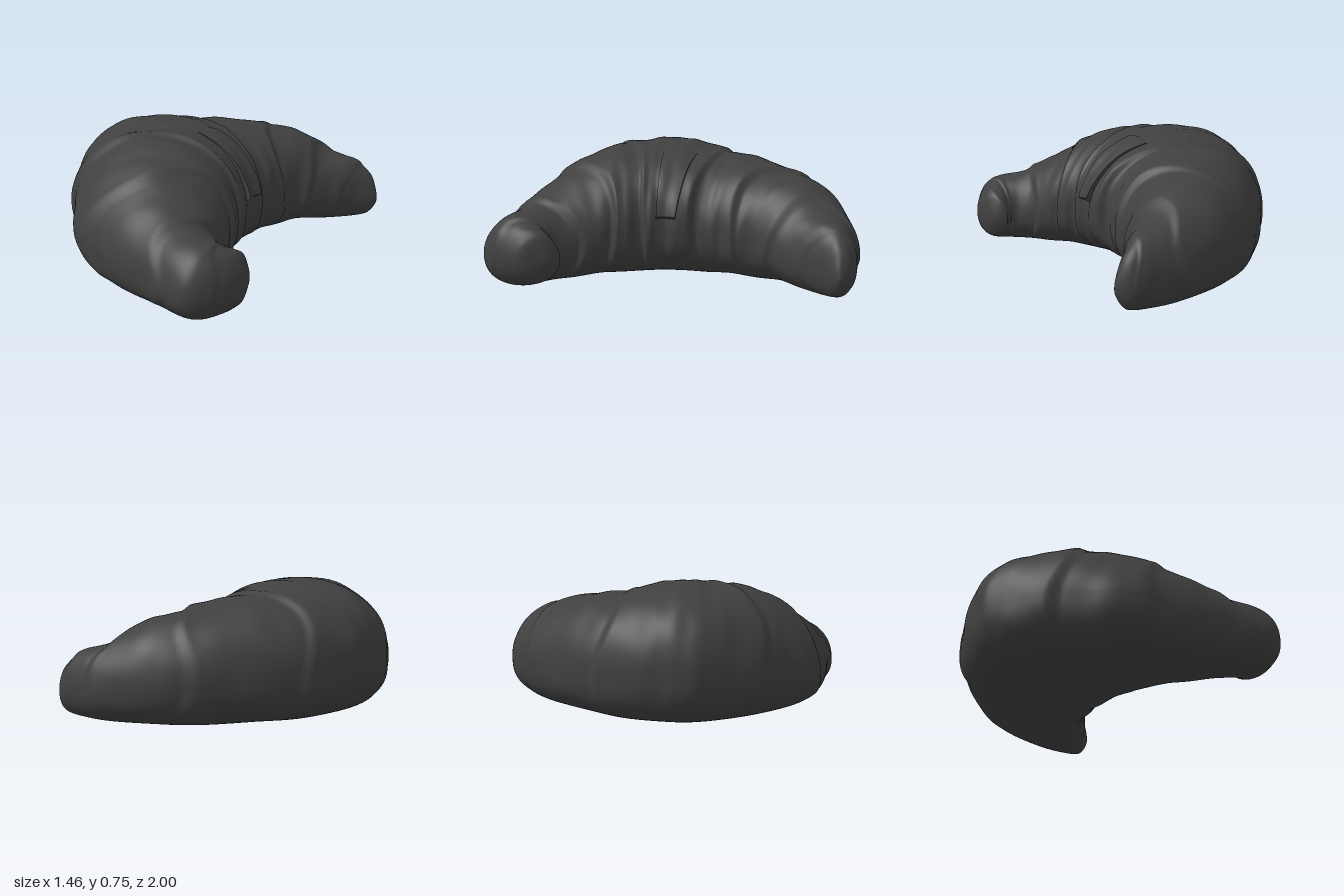
import * as THREE from 'three';
import { toCreasedNormals } from 'three/addons/utils/BufferGeometryUtils.js';

const { smoothstep, lerp } = THREE.MathUtils;
const V = (x, y, z) => new THREE.Vector3(x, y, z);

// Stations along the crescent: outer x, z, inner x, z, top height, bottom height,
// outer flank (below 1 is fuller, above 1 slopes more)
const stations = [
  [0.72, -0.92, 0.71, -0.85, 0.25, 0.09, 1], [0.65, -0.96, 0.64, -0.80, 0.33, 0.05, 1],
  [0.54, -0.98, 0.57, -0.71, 0.40, 0.03, 0.95], [0.35, -0.99, 0.48, -0.59, 0.45, 0.02, 0.92],
  [0.05, -0.93, 0.40, -0.47, 0.57, 0.02, 1], [-0.19, -0.77, 0.37, -0.36, 0.61, 0.01, 1],
  [-0.46, -0.50, 0.35, -0.25, 0.67, 0.01, 0.92], [-0.61, -0.28, 0.34, -0.15, 0.69, 0, 0.86],
  [-0.71, -0.05, 0.35, -0.04, 0.74, 0, 0.84], [-0.73, 0.14, 0.36, 0.07, 0.75, 0, 0.84],
  [-0.64, 0.35, 0.37, 0.15, 0.73, 0, 0.9], [-0.48, 0.57, 0.38, 0.24, 0.72, 0, 1.05],
  [-0.29, 0.77, 0.41, 0.33, 0.64, 0.01, 1.15], [0.00, 0.89, 0.45, 0.44, 0.54, 0.01, 1.1],
  [0.28, 0.94, 0.49, 0.54, 0.45, 0.02, 1], [0.54, 1.00, 0.56, 0.60, 0.41, 0.03, 1],
  [0.66, 0.91, 0.60, 0.58, 0.38, 0.05, 1], [0.725, 0.77, 0.62, 0.56, 0.34, 0.08, 1],
  [0.72, 0.65, 0.65, 0.55, 0.28, 0.13, 1],
];
const N = stations.length - 1;
const outer = new THREE.CatmullRomCurve3(stations.map(s => V(s[0], 0, s[1])), false, 'catmullrom');
const inner = new THREE.CatmullRomCurve3(stations.map(s => V(s[2], 0, s[3])), false, 'catmullrom');
const height = new THREE.CatmullRomCurve3(stations.map(s => V(s[4], s[5], s[6])), false, 'catmullrom');

// Edges of the rolled dough layers: station, direction away from the middle, swell
const seams = [
  [1.7, -1, 0.05], [3.3, -1, 0.07], [5.1, -1, 0.06], [7.1, -1, 0.05],
  [10.3, 1, 0.05], [12.1, 1, 0.06], [13.8, 1, 0.07], [15.5, 1, 0.05],
];

// Relief of the crust: layer steps, folds and small lumps
function relief(t, a) {
  let d = -0.02;
  for (const [T, dir, amp] of seams) {
    const wave = 0.15 * Math.sin(3 * a + T);
    const x = (t - T) * dir + 0.4 * Math.cos(a) + wave;
    d += x > 0 ? amp * (1 - smoothstep(x, 0, 0.25)) : amp * Math.exp(x / 0.7);
  }
  d += 0.010 * Math.sin(2.9 * t + 2 * a) * Math.sin(3 * a + 1.3 * t);
  d += 0.006 * Math.sin(7.1 * t - 3 * a) * Math.sin(5 * a + 2.3 * t);
  // Uneven pleats low on the inner side
  d += 0.014 * (Math.sin(4.1 * t) + Math.sin(2.3 * t + 1)) * Math.exp(-8 * (1 - Math.cos(a + 0.15)));
  return d * smoothstep(Math.sin(a), -0.9, -0.2);
}

// Point on the crust at station t and angle a (0 = inner side, PI/2 = crest)
function crust(t, a, lift = 0) {
  const o = outer.getPoint(t / N), i = inner.getPoint(t / N), h = height.getPoint(t / N);
  const fromEnd = Math.min(t, N - t);
  const round = Math.sqrt(Math.max(0, 1 - (1 - Math.min(1, fromEnd)) ** 2));
  // Round tips, flatter base towards the middle
  const flat = smoothstep(fromEnd, 1, 6);
  const c = Math.cos(a), s = Math.sin(a);
  const power = s < 0 ? lerp(1, 0.74, flat) : c < 0 ? h.z : lerp(1, 0.96, flat);
  const u = Math.sign(c) * Math.abs(c) ** power;
  const v = Math.sign(s) * Math.abs(s) ** power;
  const mid = o.clone().add(i).multiplyScalar(0.5);
  mid.y = lerp(h.y, h.x, 0.42);
  const off = i.sub(o).multiplyScalar(u / 2);
  off.y = v * (s > 0 ? h.x - mid.y : mid.y - h.y);
  const dir = off.clone().normalize();
  off.multiplyScalar(round * (1 + relief(t, a)));
  return mid.add(off).addScaledVector(dir, lift);
}

// Skin over rows of closed loops
function loft(rows, cols, point) {
  const pos = [], index = [];
  for (let i = 0; i <= rows; i++) {
    for (let j = 0; j < cols; j++) pos.push(...point(i / rows, j).toArray());
  }
  for (let i = 0; i < rows; i++) {
    for (let j = 0; j < cols; j++) {
      const a = i * cols + j, b = i * cols + (j + 1) % cols;
      index.push(a, b, a + cols, b, b + cols, a + cols);
    }
  }
  const g = new THREE.BufferGeometry();
  g.setAttribute('position', new THREE.Float32BufferAttribute(pos, 3));
  g.setIndex(index);
  g.computeVertexNormals();
  return g;
}

export function createModel() {
  const group = new THREE.Group();
  group.name = 'croissant';
  const material = new THREE.MeshStandardMaterial({ color: 0x404040 });

  // Rolled crescent body
  const cols = 88;
  const body = new THREE.Mesh(loft(260, cols, (r, j) => crust(r * N, j / cols * Math.PI * 2)), material);
  body.name = 'crescentBody';
  group.add(body);

  // Loose end of the dough, folded over the inner side
  const strip = 10;
  const flapGeometry = loft(24, strip * 2, (r, j) => {
    const top = j < strip;
    const w = (top ? j : 2 * strip - 1 - j) / (strip - 1);
    const half = 0.5 + 0.2 * r;
    const t = 8.75 - 0.45 * r + half * (1 - 2 * w);
    const lift = top && r > 0 && r < 1 ? 0.03 * (1 - 0.95 * r) : -0.02;
    return crust(t, 0.1 + 1.1 * r, lift);
  });
  const flap = new THREE.Mesh(toCreasedNormals(flapGeometry, 0.7), material);
  flap.name = 'doughEndFlap';
  group.add(flap);

  return group;
}
